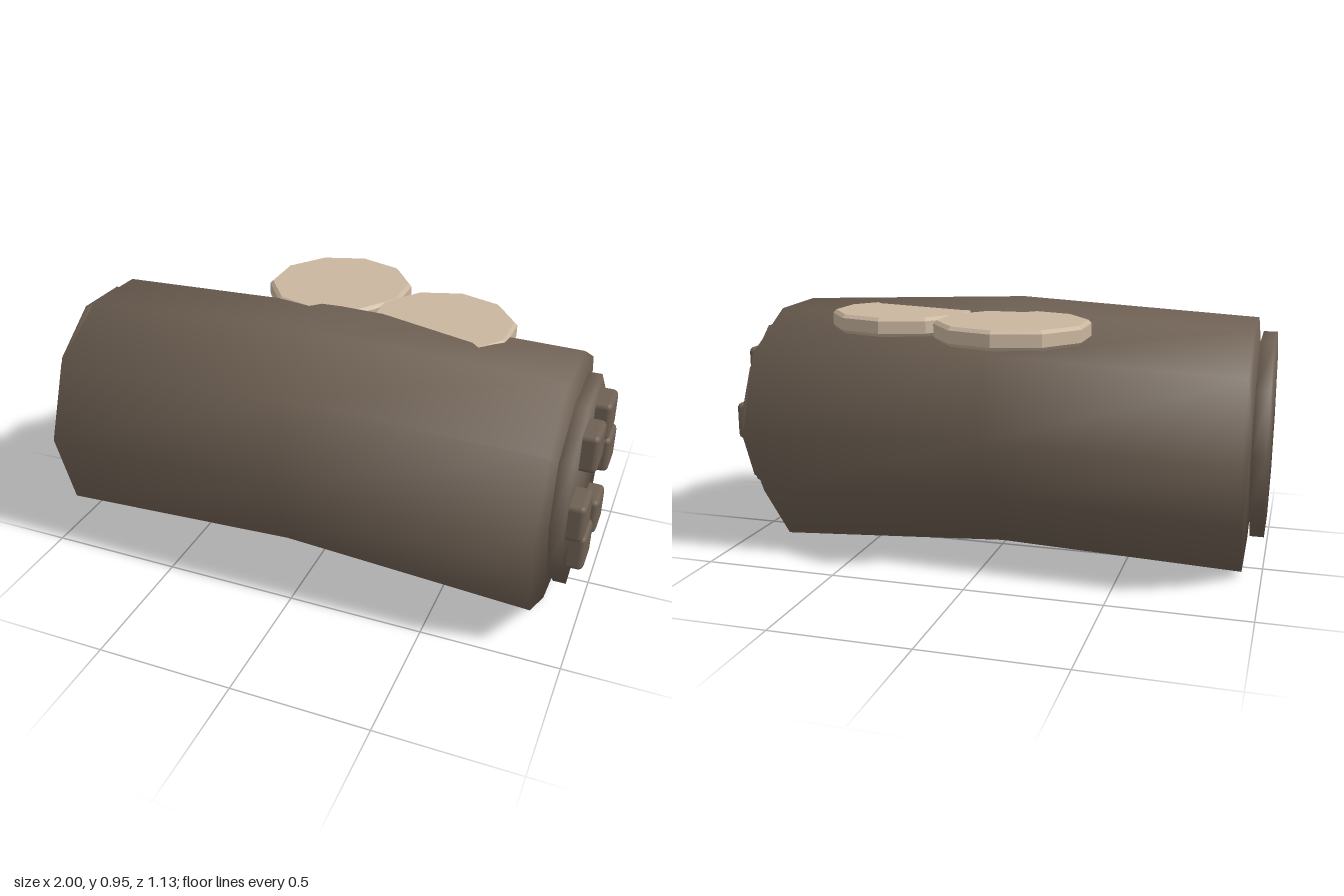
import * as THREE from 'three';
import { RoundedBoxGeometry } from 'three/addons/geometries/RoundedBoxGeometry.js';

const bark = new THREE.MeshStandardMaterial({ name: 'dark bark brown', color: 0x6e6053 });
const cream = new THREE.MeshStandardMaterial({ name: 'pale fungus tan', color: 0xcab69f });

// Closed smooth solid along x. Each ring is { x, pts: [[z, y], ...] }, counterclockwise seen from +x.
function loft(rings) {
  const n = rings[0].pts.length, last = rings.length - 1;
  const pos = [], nor = [], idx = [];
  const centre = (pts) => [0, 1].map((k) => pts.reduce((s, p) => s + p[k], 0) / n);
  rings.forEach(({ x, pts }, r) => {
    const [cz, cy] = centre(pts);
    const tilt = r === 0 ? -0.5 : r === last ? 0.5 : 0;
    for (const [z, y] of pts) {
      pos.push(x, y, z);
      const d = Math.hypot(z - cz, y - cy);
      const v = new THREE.Vector3(tilt, (y - cy) / d, (z - cz) / d).normalize();
      nor.push(v.x, v.y, v.z);
    }
  });
  for (let r = 0; r < last; r++) {
    for (let i = 0; i < n; i++) {
      const a = r * n + i, a1 = r * n + (i + 1) % n;
      idx.push(a, a1, a + n, a + n, a1, a1 + n);
    }
  }
  // End caps share the rim normals so the shading rolls over the edge
  for (const [r, dir] of [[0, -1], [last, 1]]) {
    const [cz, cy] = centre(rings[r].pts);
    const c = pos.length / 3;
    pos.push(rings[r].x, cy, cz);
    nor.push(dir, 0, 0);
    for (let i = 0; i < n; i++) {
      const a = r * n + i, b = r * n + (i + 1) % n;
      if (dir > 0) idx.push(c, a, b);
      else idx.push(c, b, a);
    }
  }
  const g = new THREE.BufferGeometry();
  g.setAttribute('position', new THREE.Float32BufferAttribute(pos, 3));
  g.setAttribute('normal', new THREE.Float32BufferAttribute(nor, 3));
  g.setIndex(idx);
  return g;
}

// Ten-sided shelf with small chamfers, a corner pointing to -z
function shelfGeometry(radius, height) {
  const b = 0.012, h = height / 2;
  const profile = [[0, -h], [radius - b, -h], [radius, -h + b], [radius, h - b], [radius - b, h], [0, h]]
    .map(([x, y]) => new THREE.Vector2(x, y));
  const g = new THREE.LatheGeometry(profile, 10).toNonIndexed();
  g.computeVertexNormals();
  return g;
}

export function createModel() {
  const model = new THREE.Group();
  model.name = 'log';
  const add = (name, geometry, material, x = 0, y = 0, z = 0) => {
    const mesh = new THREE.Mesh(geometry, material);
    mesh.name = name;
    mesh.position.set(x, y, z);
    model.add(mesh);
    return mesh;
  };

  // Trunk: three uneven ten-sided rings, arched up in the middle
  const leftEnd = [[0.19, 0.91], [0.435, 0.77], [0.545, 0.5], [0.46, 0.2], [0.19, 0.055],
    [-0.11, 0.025], [-0.3, 0.25], [-0.44, 0.49], [-0.33, 0.77], [-0.08, 0.9]];
  const middle = [[0.21, 0.957], [0.45, 0.8], [0.562, 0.52], [0.45, 0.235], [0.195, 0.085],
    [-0.1, 0.055], [-0.29, 0.28], [-0.41, 0.52], [-0.31, 0.8], [-0.07, 0.935]];
  const rightEnd = [[0.19, 0.923], [0.435, 0.775], [0.55, 0.5], [0.465, 0.19], [0.195, 0.04],
    [-0.11, 0.003], [-0.3, 0.235], [-0.435, 0.49], [-0.33, 0.775], [-0.08, 0.913]];
  add('trunk', loft([{ x: -0.93, pts: leftEnd }, { x: -0.03, pts: middle }, { x: 0.87, pts: rightEnd }]), bark);

  // Thin discs standing just off each end
  const discA = [[0.165, 0.835], [0.375, 0.725], [0.415, 0.495], [0.34, 0.28], [0.17, 0.105],
    [-0.065, 0.15], [-0.245, 0.28], [-0.335, 0.49], [-0.235, 0.7], [-0.07, 0.842]];
  add('endDiscLeft', loft([{ x: 0.893, pts: discA }, { x: 0.94, pts: discA }]), bark);
  const discB = [[0.15, 0.865], [0.34, 0.73], [0.39, 0.5], [0.33, 0.29], [0.15, 0.165],
    [-0.07, 0.15], [-0.24, 0.3], [-0.31, 0.5], [-0.24, 0.72], [-0.07, 0.86]];
  add('endDiscRight', loft([{ x: -1, pts: discB }, { x: -0.95, pts: discB }]), bark);

  // Six rounded knobs on one end disc
  const knob = new RoundedBoxGeometry(0.08, 0.142, 0.142, 2, 0.02);
  [[0.165, 0.692], [-0.068, 0.692], [0.282, 0.49], [-0.184, 0.492], [0.163, 0.289], [-0.071, 0.29]]
    .forEach(([z, y], i) => add(`knob${i + 1}`, knob, bark, 0.958, y, z));

  // Shelf fungi growing out of the upper back
  add('fungusLarge', shelfGeometry(0.275, 0.068), cream, -0.12, 0.898, -0.29).rotation.y = 0;
  add('fungusSmall', shelfGeometry(0.27, 0.068), cream, 0.35, 0.897, -0.1);
  return model;
}
